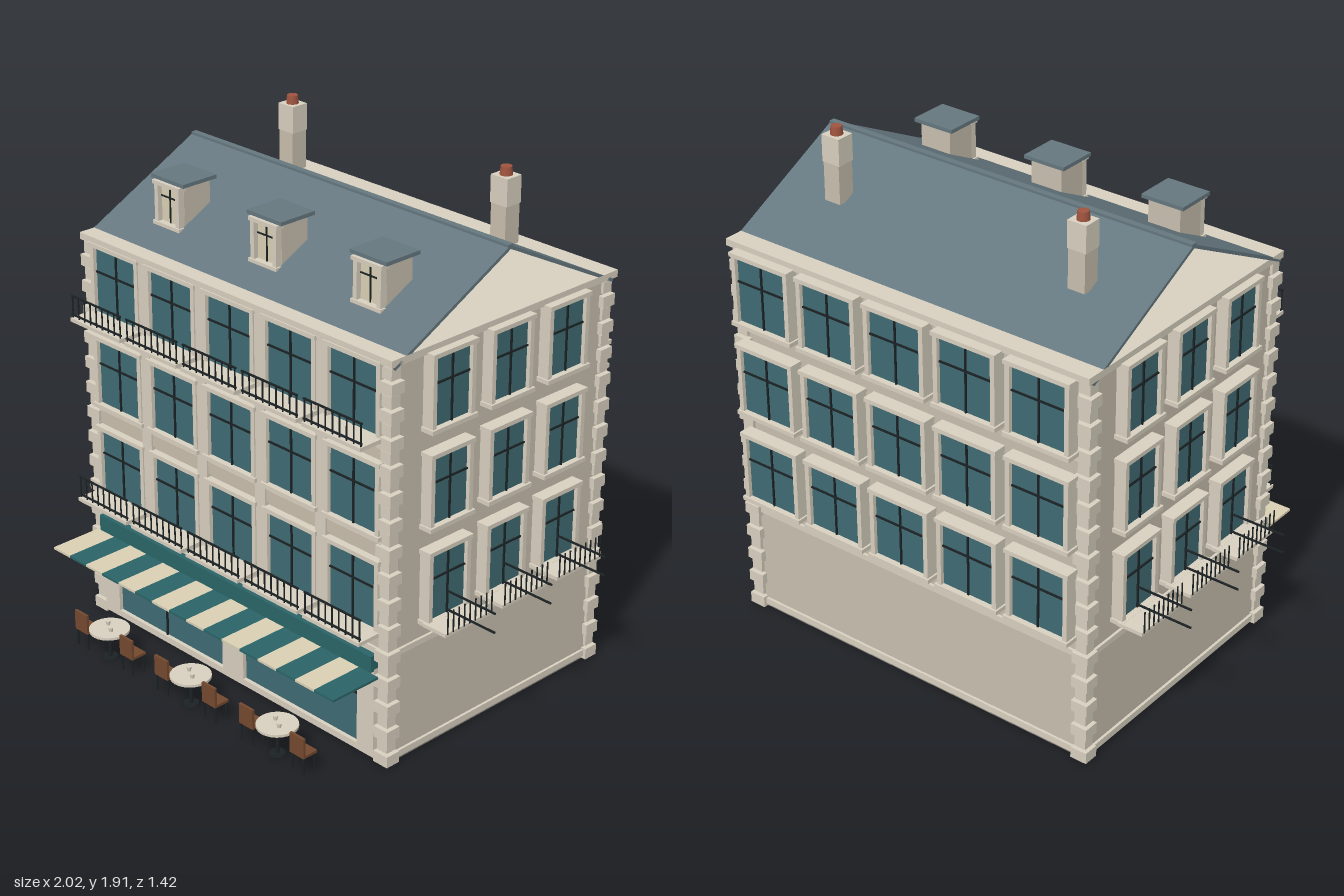
import * as THREE from 'three';

const mat = (color) => new THREE.MeshStandardMaterial({ color });
const M = {
  wall: mat(0xc8bead), trim: mat(0xd8d0bf), glass: mat(0x3f6a72), slate: mat(0x65777f),
  dark: mat(0x1b2224), teal: mat(0x2a6467), cream: mat(0xd9d0b4), wood: mat(0x74492f),
  brick: mat(0xa0543f), brass: mat(0xb08a48), base: mat(0x8a857c),
};
const ZC = -0.115; // middle of the house in depth

function box(parent, name, material, w, h, d, x, y, z) {
  const m = new THREE.Mesh(new THREE.BoxGeometry(w, h, d), material);
  m.name = name;
  m.position.set(x, y, z);
  parent.add(m);
  return m;
}

function cyl(parent, name, material, r0, r1, h, x, y, z, sides = 16) {
  const m = new THREE.Mesh(new THREE.CylinderGeometry(r0, r1, h, sides), material);
  m.name = name;
  m.position.set(x, y, z);
  parent.add(m);
  return m;
}

function group(parent, name, x = 0, y = 0, z = 0, ry = 0) {
  const g = new THREE.Group();
  g.name = name;
  g.position.set(x, y, z);
  g.rotation.y = ry;
  parent.add(g);
  return g;
}

// Window facing local +z, centred on the origin
function addWindow(parent, w, x, y, z, ry) {
  const g = group(parent, 'window', x, y, z, ry), h = 0.255;
  box(g, 'glass', M.glass, w, h, 0.03, 0, 0, 0.003);
  for (const s of [-1, 1])
    box(g, 'jamb', M.trim, 0.018, h, 0.05, s * (w / 2 + 0.009), 0, 0.008);
  box(g, 'lintel', M.trim, w + 0.045, 0.016, 0.054, 0, h / 2 + 0.006, 0.011);
  box(g, 'sill', M.trim, w + 0.05, 0.016, 0.056, 0, -h / 2 - 0.006, 0.013);
  box(g, 'mullion', M.dark, 0.006, h, 0.008, 0, 0, 0.02);
  box(g, 'transom', M.dark, w, 0.006, 0.008, 0, 0.03, 0.02);
}

// Balcony facing local +z; the side ones carry their rails outwards
function addBalcony(parent, w, x, y, z, ry, railsOutward) {
  const g = group(parent, 'balcony', x, y, z, ry);
  box(g, 'slab', M.trim, w, 0.014, 0.105, 0, 0, 0.052);
  const railZ = railsOutward ? 0.11 : 0.095;
  for (const ry2 of [0.018, 0.09]) {
    const rail = box(g, 'rail', M.dark, w, 0.006, 0.006, 0, ry2, railZ);
    if (railsOutward) rail.rotation.y = Math.PI / 2;
  }
  const n = 9;
  for (let i = 0; i < n; i++)
    box(g, 'baluster', M.dark, 0.004, 0.085, 0.004, (i / (n - 1) - 0.5) * (w - 0.01), 0.05, railZ);
}

function addDormer(parent, x) {
  const g = group(parent, 'dormer', x, 0, 0);
  box(g, 'dormerBody', M.wall, 0.13, 0.19, 0.12, 0, 1.645, 0.177);
  box(g, 'dormerRoof', M.slate, 0.17, 0.014, 0.155, 0, 1.742, 0.18);
  for (const s of [-1, 1])
    box(g, 'dormerJamb', M.trim, 0.018, 0.15, 0.03, s * 0.055, 1.65, 0.247);
  box(g, 'dormerLintel', M.trim, 0.14, 0.014, 0.034, 0, 1.725, 0.249);
  box(g, 'dormerSill', M.trim, 0.14, 0.014, 0.036, 0, 1.575, 0.25);
  box(g, 'dormerPane', M.cream, 0.092, 0.136, 0.01, 0, 1.65, 0.238);
  box(g, 'dormerMullion', M.dark, 0.005, 0.136, 0.006, 0, 1.65, 0.244);
  box(g, 'dormerTransom', M.dark, 0.092, 0.005, 0.006, 0, 1.675, 0.244);
}

function addTable(parent, x) {
  const g = group(parent, 'table', x, 0, 0.63);
  cyl(g, 'tableTop', M.trim, 0.075, 0.075, 0.01, 0, 0.117, 0, 24);
  cyl(g, 'tableStem', M.dark, 0.007, 0.007, 0.11, 0, 0.057, 0, 8);
  cyl(g, 'tableFoot', M.dark, 0.028, 0.03, 0.006, 0, 0.004, 0);
  for (const s of [-1, 1]) cyl(g, 'cup', M.trim, 0.009, 0.007, 0.016, s * 0.022, 0.13, s * 0.012, 10);
}

function addChair(parent, x) {
  const g = group(parent, 'chair', x, 0, 0.628);
  box(g, 'seat', M.wood, 0.068, 0.01, 0.064, 0, 0.07, 0);
  box(g, 'chairBack', M.wood, 0.068, 0.072, 0.01, 0, 0.108, 0.028);
  for (const sx of [-1, 1]) for (const sz of [-1, 1])
    box(g, 'chairLeg', M.dark, 0.006, 0.066, 0.006, sx * 0.028, 0.033, sz * 0.026);
}

function addLantern(parent, x) {
  const g = group(parent, 'lantern', x, 0, 0.485);
  cyl(g, 'lanternGlass', M.brass, 0.019, 0.014, 0.042, 0, 0.3, 0, 6);
  cyl(g, 'lanternCap', M.dark, 0.008, 0.022, 0.012, 0, 0.326, 0, 6);
  box(g, 'lanternArm', M.dark, 0.006, 0.006, 0.08, 0, 0.331, -0.038);
}

export function createModel() {
  const root = new THREE.Group();
  root.name = 'cornerCafeHouse';

  // Body and horizontal mouldings
  const body = group(root, 'body');
  box(body, 'walls', M.wall, 1.51, 1.49, 1.045, 0, 0.757, ZC);
  box(body, 'underside', M.base, 1.51, 0.012, 1.045, 0, 0.006, ZC);
  box(body, 'plinth', M.trim, 1.53, 0.025, 1.065, 0, 0.027, ZC);
  box(body, 'stringCourse', M.trim, 1.53, 0.022, 1.065, 0, 0.43, ZC);
  box(body, 'cornice', M.trim, 1.55, 0.026, 1.1, 0, 1.507, -0.12);

  // Corner quoins, alternating long and short
  const quoins = group(root, 'quoins');
  const rows = 30, step = 1.49 / rows;
  for (let i = 0; i < rows; i++) {
    const s = i % 2 ? 0.046 : 0.066;
    for (const sx of [-1, 1]) for (const z of [0.4, -0.63])
      box(quoins, 'quoin', M.trim, s, step * 0.86, s * 0.9, sx * 0.743, (i + 0.5) * step, z);
  }

  // Windows on all four sides, with balconies
  const cols = [-0.595, -0.2975, 0, 0.2975, 0.595];
  const sideCols = [0.163, -0.118, -0.398];
  const levels = [0.64, 1.0, 1.358];
  levels.forEach((y, level) => {
    for (const x of cols) {
      addWindow(root, 0.22, x, y, 0.397, 0);
      addWindow(root, 0.22, x, y, -0.672, Math.PI);
      if (level !== 1) addBalcony(root, 0.27, x, y - 0.133, 0.42, 0, false);
    }
    for (const z of sideCols) for (const s of [-1, 1]) {
      addWindow(root, 0.165, s * 0.768, y, z, s * Math.PI / 2);
      if (level === 0) addBalcony(root, 0.225, s * 0.785, y - 0.133, z, s * Math.PI / 2, true);
    }
  });

  // Front pilasters and floor bands
  for (const x of [-0.446, -0.149, 0.149, 0.446])
    box(root, 'pilaster', M.trim, 0.05, 1.0, 0.02, x, 0.995, 0.415);
  for (const y of [0.5, 0.82, 1.18])
    box(root, 'floorBand', M.wall, 1.44, y === 0.5 ? 0.02 : 0.045, 0.014, 0, y, 0.412);

  // Shop front
  const shop = group(root, 'shopFront');
  for (const s of [-1, 1]) {
    box(shop, 'shopGlass', M.glass, 0.58, 0.32, 0.02, s * 0.345, 0.2, 0.405);
    box(shop, 'shopTransom', M.dark, 0.58, 0.006, 0.008, s * 0.345, 0.23, 0.418);
    box(shop, 'shopPier', M.trim, 0.08, 0.35, 0.03, s * 0.67, 0.19, 0.415);
    addLantern(shop, s * 0.595);
  }
  box(shop, 'centrePier', M.trim, 0.11, 0.35, 0.03, 0, 0.19, 0.415);
  box(shop, 'doorPost', M.dark, 0.006, 0.32, 0.008, -0.37, 0.2, 0.418);
  box(shop, 'shopSill', M.trim, 1.42, 0.025, 0.03, 0, 0.028, 0.415);
  box(shop, 'signBoard', M.teal, 1.42, 0.062, 0.04, 0, 0.389, 0.425);

  // Striped flat awning
  const awning = group(root, 'awning');
  const n = 16, sw = 1.47 / n;
  for (let i = 0; i < n; i++)
    box(awning, 'awningStripe', i % 2 ? M.teal : M.cream, sw, 0.009, 0.21, (i + 0.5) * sw - 0.735, 0.345, 0.54);

  // Roof: two thin slopes open at the gables, and a ridge
  const roof = group(root, 'roof', 0, 0, ZC);
  const run = 0.53, rise = 0.268;
  for (const s of [-1, 1]) {
    const slope = box(roof, 'roofSlope', M.slate, 1.55, 0.012, Math.hypot(run, rise), 0, 1.488 + rise / 2, s * run / 2);
    slope.rotation.x = s * Math.atan2(rise, run);
  }
  box(roof, 'ridge', M.slate, 1.55, 0.016, 0.024, 0, 1.758, 0);
  for (const x of [-0.495, 0, 0.493]) addDormer(root, x);

  // Chimneys
  for (const s of [-1, 1]) {
    const c = group(root, 'chimney', s * 0.52, 0, -0.368);
    box(c, 'stack', M.wall, 0.068, 0.24, 0.068, 0, 1.75, 0);
    box(c, 'stackCap', M.trim, 0.076, 0.1, 0.07, 0, 1.825, 0);
    cyl(c, 'pot', M.brick, 0.02, 0.023, 0.034, 0, 1.889, 0);
  }

  // Terrace furniture
  for (const x of [-0.447, 0, 0.447]) {
    addTable(root, x);
    for (const s of [-1, 1]) addChair(root, x + s * 0.127);
  }
  return root;
}
